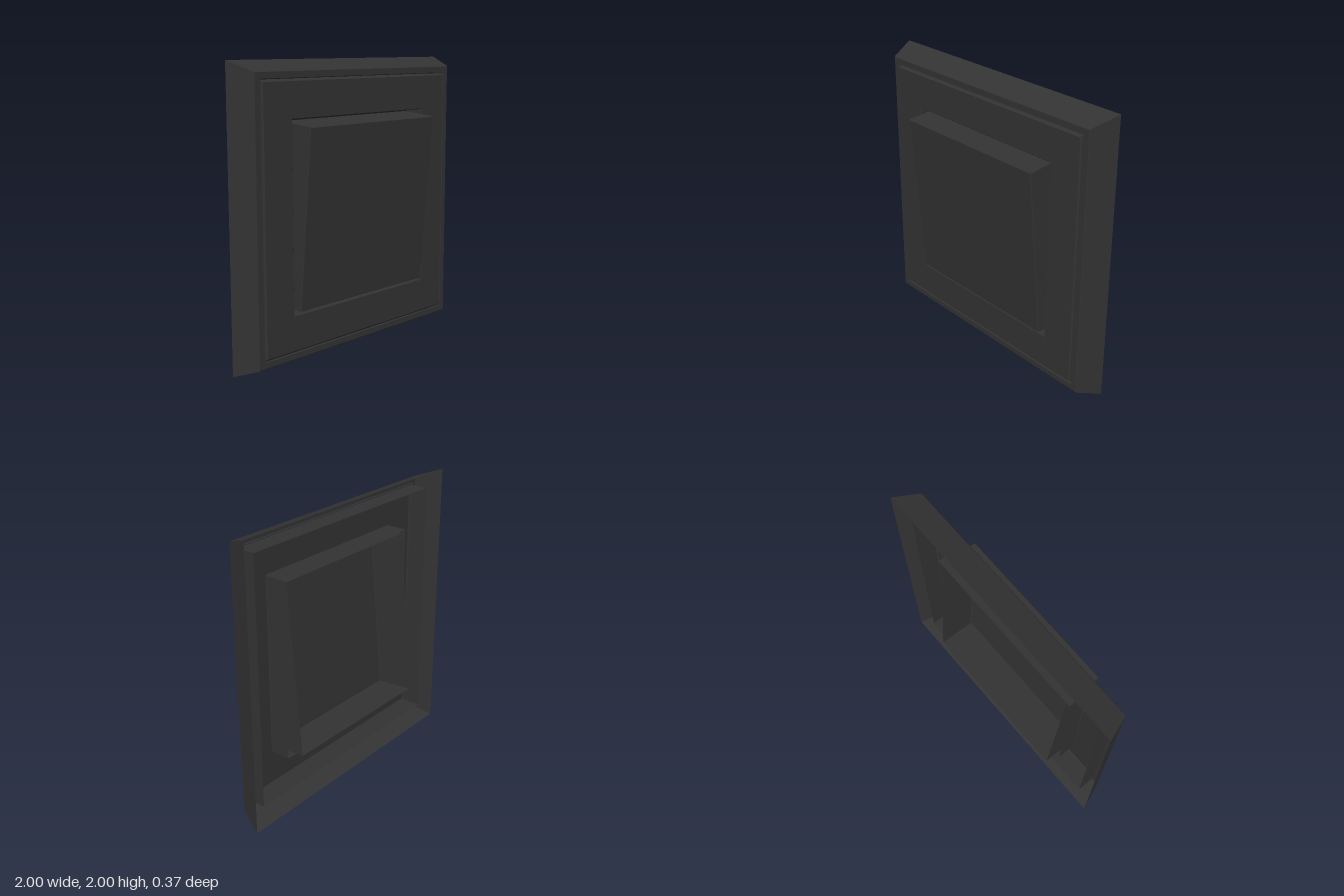
import * as THREE from 'three';

const material = new THREE.MeshStandardMaterial({
  color: 0x333333,
  flatShading: true,
  side: THREE.DoubleSide,
});

// Sweeps a profile of [half width, z] points around a square facing +z
function squareShell(name, profile) {
  const points = profile.map(([half, z]) => new THREE.Vector2(half * Math.SQRT2, z));
  const geometry = new THREE.LatheGeometry(points, 4, Math.PI / 4)
    .rotateX(Math.PI / 2)
    .toNonIndexed();
  geometry.computeVertexNormals();
  const mesh = new THREE.Mesh(geometry, material);
  mesh.name = name;
  return mesh;
}

export function createModel() {
  const group = new THREE.Group();
  group.name = 'wallSwitch';

  // Outer frame: sloped rim, flat front border and a short inner lip
  const frame = squareShell('outerFrame', [
    [1, -0.133], [0.935, 0.048], [0.93, 0.052], [0.89, 0.052], [0.888, 0.04],
  ]);
  frame.position.y = 1;

  // Inner panel: thin front plate with walls running back on both edges
  const panel = squareShell('innerPanel', [
    [0.879, -0.085], [0.879, 0.05], [0.87, 0.06],
    [0.638, 0.06], [0.633, 0.055], [0.633, -0.085],
  ]);
  panel.position.y = 1;

  // Rocker: tilted cap, hollow at the back
  const rocker = squareShell('rocker', [
    [0.602, -0.27], [0.602, -0.004], [0.598, 0], [0, 0],
  ]);
  rocker.position.set(0, 0.99, 0.137);
  rocker.rotation.x = THREE.MathUtils.degToRad(5);

  group.add(frame, panel, rocker);
  return group;
}
